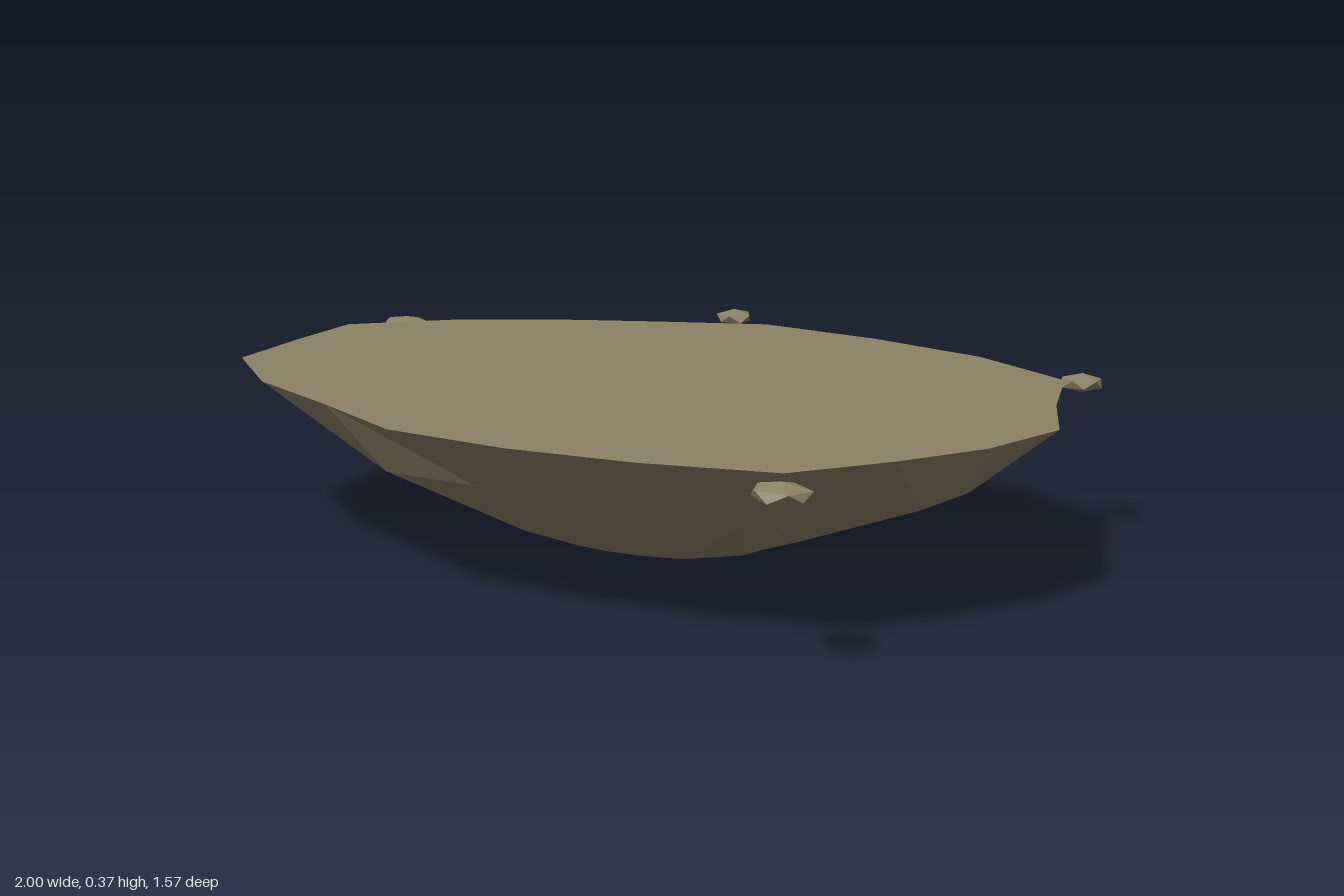
import * as THREE from 'three';

const CX = 0.07, CZ = 0.08, TOP = 0.375;

// Plateau edge, clockwise from the back (x, z)
const RIM = [
  [0.07, -0.67], [0.39, -0.66], [0.69, -0.57], [0.84, -0.34], [0.99, -0.15],
  [1, 0.08], [0.95, 0.29], [0.87, 0.51], [0.62, 0.64], [0.36, 0.73],
  [0.07, 0.78], [-0.21, 0.715], [-0.5, 0.66], [-0.76, 0.525], [-0.86, 0.3],
  [-0.945, 0.08], [-0.82, -0.14], [-0.65, -0.32], [-0.45, -0.48], [-0.24, -0.635],
];

// Inward scale of the rim at the two main underside rings
const UPPER = [0.72, 0.7, 0.74, 0.68, 0.8, 0.82, 0.69, 0.76, 0.7, 0.69,
  0.68, 0.82, 0.67, 0.76, 0.73, 0.74, 0.7, 0.76, 0.66, 0.74];
const LOWER = [0.29, 0.34, 0.26, 0.36, 0.4, 0.37, 0.43, 0.32, 0.36, 0.3,
  0.27, 0.39, 0.34, 0.38, 0.29, 0.33, 0.27, 0.36, 0.25, 0.31];

function seeded(seed) {
  return () => {
    seed = (seed * 16807) % 2147483647;
    return seed / 2147483647;
  };
}

function flatGeometry(triangles) {
  const geometry = new THREE.BufferGeometry().setFromPoints(triangles);
  geometry.computeVertexNormals();
  return geometry;
}

function ring(scale, height) {
  return RIM.map(([x, z], i) => new THREE.Vector3(
    CX + (x - CX) * scale(i), height(i), CZ + (z - CZ) * scale(i)));
}

export function createModel() {
  const group = new THREE.Group();
  const rock = new THREE.MeshStandardMaterial({ color: 0x8c8266, flatShading: true });
  rock.name = 'rock';
  const add = (name, geometry) => {
    const mesh = new THREE.Mesh(geometry, rock);
    mesh.name = name;
    group.add(mesh);
    return mesh;
  };

  // Rings from the plateau edge down to the ragged tip
  const rings = [
    ring(() => 1, () => TOP),
    ring((i) => UPPER[i], () => 0.225),
    ring((i) => LOWER[i], (i) => 0.06 + (LOWER[i] - 0.33) * 0.2),
    ring((i) => (i % 2 ? 0.045 : 0.08), (i) => (i % 2 ? 0.005 : 0.022)),
  ];
  const n = RIM.length;
  const plateau = [], underside = [];
  const topCentre = new THREE.Vector3(CX, TOP, CZ);
  const tip = new THREE.Vector3(CX, 0.03, CZ);
  for (let i = 0; i < n; i++) {
    const j = (i + 1) % n;
    plateau.push(topCentre, rings[0][j], rings[0][i]);
    for (let k = 0; k < 3; k++) {
      const a = rings[k][i], b = rings[k][j], c = rings[k + 1][i], d = rings[k + 1][j];
      underside.push(a, b, c, b, d, c);
    }
    underside.push(rings[3][i], rings[3][j], tip);
  }
  add('plateau', flatGeometry(plateau));
  add('underside', flatGeometry(underside));

  // Loose flattened boulders floating round the edge: x, z, half width, half depth
  [[-0.935, -0.095, 0.07, 0.057], [-0.45, -0.74, 0.052, 0.048],
    [0.67, -0.66, 0.05, 0.043], [0.915, 0.565, 0.073, 0.056]].forEach(([x, z, rx, rz], k) => {
    const random = seeded(311 + k * 977);
    const geometry = new THREE.IcosahedronGeometry(1, 0);
    geometry.rotateZ(Math.atan(2 / (1 + Math.sqrt(5))));
    const position = geometry.attributes.position;
    const nudges = new Map();
    const v = new THREE.Vector3();
    for (let i = 0; i < position.count; i++) {
      v.fromBufferAttribute(position, i);
      const key = v.toArray().map((c) => Math.round(c * 100)).join();
      if (!nudges.has(key)) nudges.set(key, 0.9 + random() * 0.2);
      v.multiplyScalar(nudges.get(key));
      position.setXYZ(i, v.x, v.y, v.z);
    }
    geometry.rotateY(k * 0.8);
    geometry.scale(rx, 0.02, rz);
    geometry.computeVertexNormals();
    add('boulder' + (k + 1), geometry).position.set(x, 0.355, z);
  });

  return group;
}
